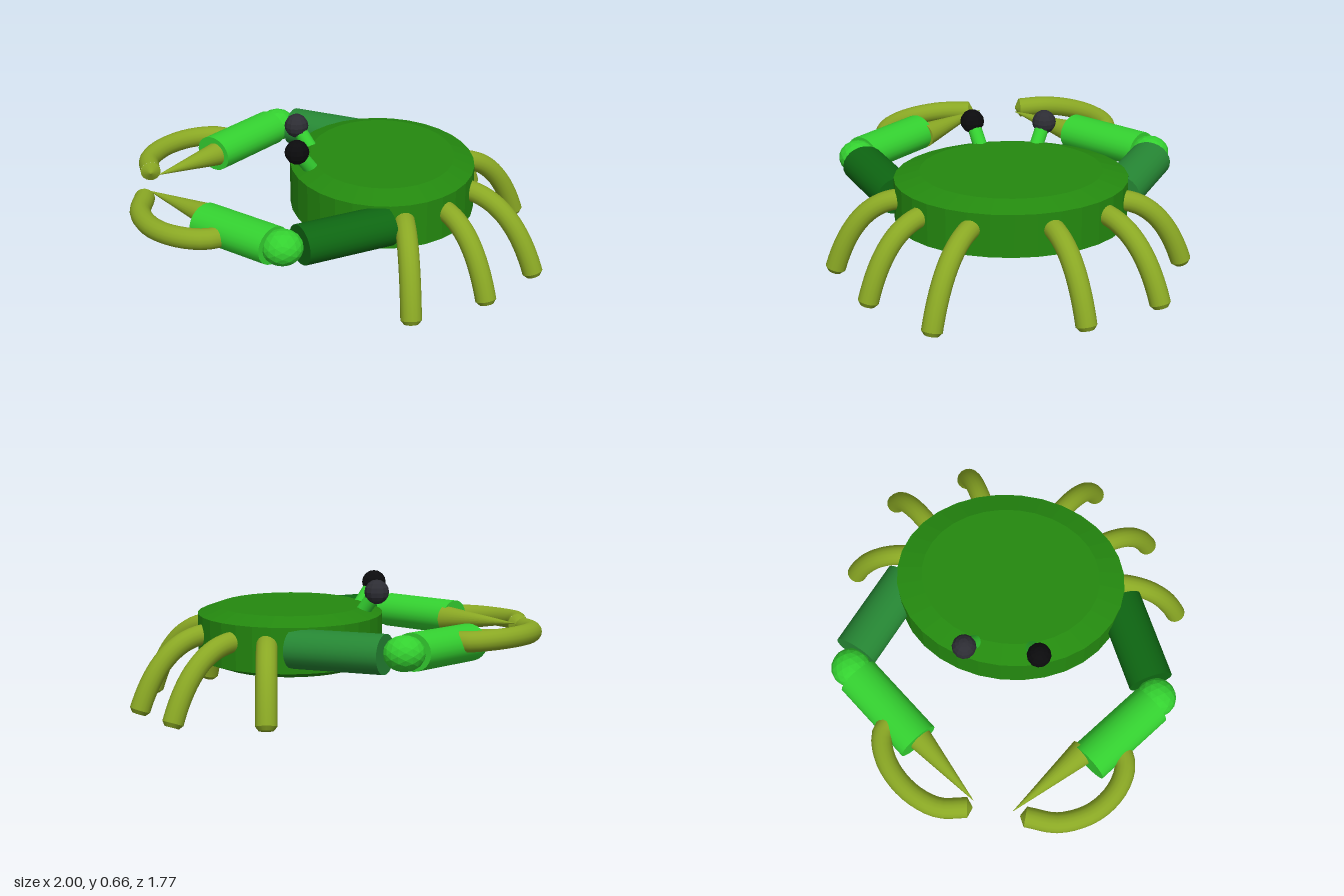
import * as THREE from 'three';

const mat = (name, color) => {
  const m = new THREE.MeshStandardMaterial({ color });
  m.name = name;
  return m;
};
const V = (x, y, z) => new THREE.Vector3(x, y, z);

// Give every face its own normal
function flat(geo) {
  const g = geo.index ? geo.toNonIndexed() : geo;
  g.computeVertexNormals();
  return g;
}

// Tapered cylinder between two points, optionally squashed in height
function rod(a, b, ra, rb, squash = 1, sides = 24) {
  const dir = b.clone().sub(a);
  const mid = a.clone().add(b).multiplyScalar(0.5);
  const g = new THREE.CylinderGeometry(rb, ra, dir.length(), sides);
  g.applyQuaternion(new THREE.Quaternion().setFromUnitVectors(V(0, 1, 0), dir.normalize()));
  g.scale(1, squash, 1);
  g.translate(mid.x, mid.y, mid.z);
  return g;
}

export function createModel() {
  const crab = new THREE.Group();
  crab.name = 'crab';
  const shell = mat('shell green', 0x24890f);
  const lime = mat('lime green', 0x34d130);
  const deep = mat('deep green', 0x0e6612);
  const sea = mat('sea green', 0x268734);
  const olive = mat('olive', 0x8aa824);
  const black = mat('black', 0x0b0b0d);
  const charcoal = mat('charcoal', 0x2d2d34);

  const add = (name, geo, material, parent = crab) => {
    const mesh = new THREE.Mesh(geo, material);
    mesh.name = name;
    parent.add(mesh);
    return mesh;
  };
  const addGroup = (name) => {
    const g = new THREE.Group();
    g.name = name;
    crab.add(g);
    return g;
  };

  // Round tube along a curve, finished with a short tapered tip
  const limb = (name, curve, radius, tipLength, tipRadius, parent) => {
    add(name, new THREE.TubeGeometry(curve, 20, radius, 16), olive, parent);
    const end = curve.getPoint(1);
    const tip = end.clone().addScaledVector(curve.getTangent(1), tipLength);
    add(name + 'Tip', rod(end, tip, radius, tipRadius, 1, 16), olive, parent);
  };

  // Oval shell with bevelled rims
  const profile = [[0, 0.235], [0.78, 0.235], [1, 0.272], [1, 0.488], [0.78, 0.525], [0, 0.525]]
    .map(([r, y]) => new THREE.Vector2(r, y));
  const shellGeo = new THREE.LatheGeometry(profile, 32);
  shellGeo.scale(0.457, 1, 0.566);
  shellGeo.translate(0.235, 0, -0.018);
  add('shell', flat(shellGeo), shell);

  // Eyes on leaning stalks
  for (const [side, base, ball, material] of [
    ['front', V(-0.11, 0.49, 0.12), V(-0.19, 0.61, 0.165), black],
    ['back', V(-0.11, 0.49, -0.15), V(-0.185, 0.605, -0.197), charcoal],
  ]) {
    const eye = addGroup(side + 'Eye');
    add('eyeStalk', rod(base, ball, 0.035, 0.035), lime, eye);
    const g = flat(new THREE.SphereGeometry(0.06, 12, 8));
    g.translate(ball.x, ball.y, ball.z);
    add('eyeBall', g, material, eye);
  }

  // Six arched walking legs: start x, z and foot x, z
  const legs = [
    [0.30, 0.50, 0.313, 0.838], [0.48, 0.38, 0.68, 0.66], [0.61, 0.16, 0.95, 0.36],
    [0.61, -0.18, 0.955, -0.335], [0.48, -0.43, 0.77, -0.69], [0.342, -0.51, 0.342, -0.84],
  ];
  const footHeights = [0.05, 0.05, 0.037, 0.057, 0.067, 0.082];
  legs.forEach(([x0, z0, x1, z1], i) => {
    const at = (t, y) => V(x0 + (x1 - x0) * t, y, z0 + (z1 - z0) * t);
    const curve = new THREE.QuadraticBezierCurve3(at(0, 0.405), at(0.68, 0.405), at(1, footHeights[i]));
    limb('leg', curve, 0.05, 0.02, 0.034, addGroup('leg' + (i + 1)));
  });

  // Pincer arms: upper arm, elbow, forearm, curved finger and pointed finger
  const arms = [
    {
      name: 'frontArm', color: deep,
      upper: [V(0.22, 0.385, 0.53), V(-0.19, 0.385, 0.72)],
      elbow: V(-0.27, 0.39, 0.752),
      fore: [V(-0.31, 0.39, 0.73), V(-0.63, 0.385, 0.45)],
      finger: [V(-0.5, 0.38, 0.58), V(-0.62, 0.38, 0.63), V(-0.75, 0.38, 0.6),
        V(-0.87, 0.38, 0.5), V(-0.94, 0.385, 0.34), V(-0.93, 0.39, 0.18)],
      point: [V(-0.58, 0.385, 0.42), V(-0.91, 0.4, 0.12)],
    },
    {
      name: 'backArm', color: sea,
      upper: [V(0.22, 0.385, -0.54), V(-0.195, 0.39, -0.74)],
      elbow: V(-0.28, 0.395, -0.75),
      fore: [V(-0.32, 0.395, -0.71), V(-0.615, 0.385, -0.375)],
      finger: [V(-0.5, 0.41, -0.5), V(-0.6, 0.415, -0.55), V(-0.74, 0.42, -0.51),
        V(-0.87, 0.42, -0.39), V(-0.935, 0.415, -0.24), V(-0.92, 0.41, -0.1)],
      point: [V(-0.58, 0.385, -0.39), V(-0.88, 0.4, -0.075)],
    },
  ];
  for (const a of arms) {
    const arm = addGroup(a.name);
    add('upperArm', rod(...a.upper, 0.11, 0.11, 0.85), a.color, arm);
    const ball = new THREE.IcosahedronGeometry(0.098, 2);
    ball.scale(1, 0.86, 1);
    ball.translate(a.elbow.x, a.elbow.y, a.elbow.z);
    add('elbow', flat(ball), lime, arm);
    add('forearm', rod(...a.fore, 0.105, 0.105, 0.85), lime, arm);
    limb('curvedFinger', new THREE.CatmullRomCurve3(a.finger), 0.05, 0.025, 0.004, arm);
    add('pointedFinger', rod(...a.point, 0.065, 0.001), olive, arm);
  }
  return crab;
}
